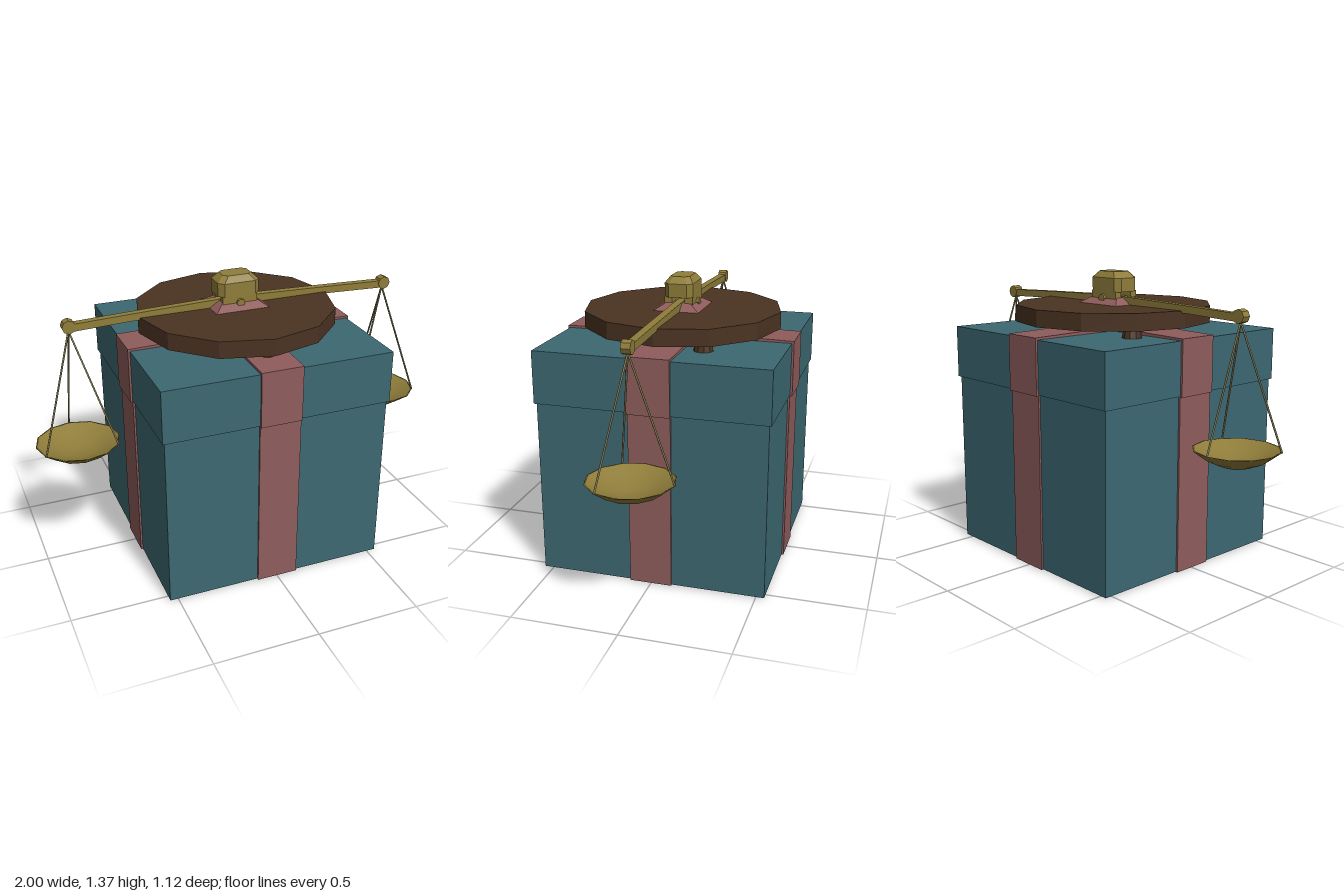
import * as THREE from 'three';
import { ConvexGeometry } from 'three/addons/geometries/ConvexGeometry.js';

const mat = (name, color, extra = {}) => {
  const m = new THREE.MeshStandardMaterial({ color, ...extra });
  m.name = name;
  return m;
};

export function createModel() {
  const model = new THREE.Group();
  const teal = mat('teal paper', 0x3d6872);
  const pink = mat('pink ribbon', 0x8f5c5c);
  const wood = mat('dark wood', 0x4b3322, { flatShading: true });
  const gold = mat('gold', 0x8f7d3a, { flatShading: true });
  const panGold = mat('pan gold', 0x8f7d3a, { side: THREE.DoubleSide });
  const cord = mat('cord', 0x8a8158);

  const add = (name, geo, material, x = 0, y = 0, z = 0, parent = model) => {
    const m = new THREE.Mesh(geo, material);
    m.name = name;
    m.position.set(x, y, z);
    parent.add(m);
    return m;
  };
  const box = (name, w, y0, y1, d, material, x = 0, z = 0) =>
    add(name, new THREE.BoxGeometry(w, y1 - y0, d), material, x, (y0 + y1) / 2, z);
  // Outline in the xy plane extruded evenly to both sides of z = 0
  const slab = (points, depth) =>
    new THREE.ExtrudeGeometry(new THREE.Shape(points.map(p => new THREE.Vector2(...p))),
      { depth, bevelEnabled: false }).translate(0, 0, -depth / 2);
  // Rectangle with cut corners at a given height
  const ring = (hx, hz, cut, y) => {
    const pts = [];
    for (const sx of [-1, 1]) for (const sz of [-1, 1]) {
      pts.push(new THREE.Vector3(sx * (hx - cut), y, sz * hz));
      pts.push(new THREE.Vector3(sx * hx, y, sz * (hz - cut)));
    }
    return pts;
  };

  // Gift box and lid
  box('boxBody', 1.08, 0.005, 0.84, 1.08, teal);
  box('boxLid', 1.1, 0.84, 1.09, 1.1, teal);

  // Crossing ribbons around the box and the lid
  const lidBand = [[-0.56, 0.835], [0.56, 0.835], [0.56, 1.1], [0, 1.11], [-0.56, 1.1]];
  for (const turn of [0, Math.PI / 2]) {
    const body = box('bodyRibbon', 1.098, 0.003, 0.84, 0.2, pink);
    body.rotation.y = turn;
    add('lidRibbon', slab(lidBand, 0.2), pink).rotation.y = turn;
  }

  // Plate and wooden pads on the underside
  add('bottomPlate', new ConvexGeometry([...ring(0.37, 0.19, 0.03, 0), ...ring(0.37, 0.19, 0.03, 0.008)]), gold);
  for (const [x, z, r] of [[0.16, -0.41, 0.04], [0.42, 0.03, 0.05], [-0.41, 0.02, 0.07]])
    add('bottomPad', new THREE.CylinderGeometry(r, r, 0.006, 6), wood, x, 0.004, z);

  // Round wooden base on three feet
  add('woodenBase', new THREE.CylinderGeometry(0.477, 0.477, 0.08, 12), wood, 0, 1.17, 0);
  for (let i = 0; i < 3; i++) {
    const a = i * Math.PI * 2 / 3;
    add('baseFoot', new THREE.CylinderGeometry(0.037, 0.047, 0.05, 10), wood,
      0.38 * Math.sin(a), 1.112, 0.38 * Math.cos(a));
  }

  // Ribbon knot coming through the base
  add('knot', new ConvexGeometry([...ring(0.14, 0.117, 0, 1.205), ...ring(0.085, 0.06, 0, 1.242)]), pink);
  box('knotStem', 0.16, 1.1, 1.14, 0.12, pink);

  // Hub: chamfered cap on two cheeks that straddle the beam
  add('hubCap', new ConvexGeometry([...ring(0.102, 0.069, 0.025, 1.27),
    ...ring(0.102, 0.069, 0.025, 1.335), ...ring(0.07, 0.047, 0.02, 1.365)]), gold);
  for (const s of [-1, 1]) box('hubCheek', 0.17, 1.21, 1.272, 0.037, gold, 0, s * 0.05);
  add('axle', new THREE.CylinderGeometry(0.02, 0.02, 0.165, 8), gold, 0, 1.238, 0).rotation.x = Math.PI / 2;

  // Tapered beam
  add('beam', slab([[-0.78, 1.19], [-0.5, 1.2], [0, 1.205], [0.5, 1.2], [0.78, 1.19],
    [0.78, 1.225], [0.5, 1.235], [0, 1.25], [-0.5, 1.235], [-0.78, 1.225]], 0.036), gold);

  // Hanging pans, mirrored
  const rimY = 0.63, hookY = 1.19;
  const profile = [[0, 0.55], [0.07, 0.555], [0.14, 0.585], [0.2, rimY],
    [0.19, rimY], [0.13, 0.6], [0.065, 0.578], [0, 0.573]].map(p => new THREE.Vector2(...p));
  for (const side of [-1, 1]) {
    const scale = new THREE.Group();
    scale.name = side > 0 ? 'leftPan' : 'rightPan';
    scale.position.x = side * 0.8;
    model.add(scale);
    add('beamEnd', new THREE.CylinderGeometry(0.032, 0.032, 0.042, 8), gold, 0, 1.213, 0, scale)
      .rotation.x = Math.PI / 2;
    add('dish', new THREE.LatheGeometry(profile, 12), panGold, 0, 0, 0, scale);
    for (let i = 0; i < 3; i++) {
      const a = Math.PI + i * Math.PI * 2 / 3;
      const line = new THREE.LineCurve3(new THREE.Vector3(0, hookY, 0),
        new THREE.Vector3(0.197 * Math.sin(a), rimY - 0.003, 0.197 * Math.cos(a)));
      add('cord', new THREE.TubeGeometry(line, 1, 0.0045, 6), cord, 0, 0, 0, scale);
    }
  }
  return model;
}
